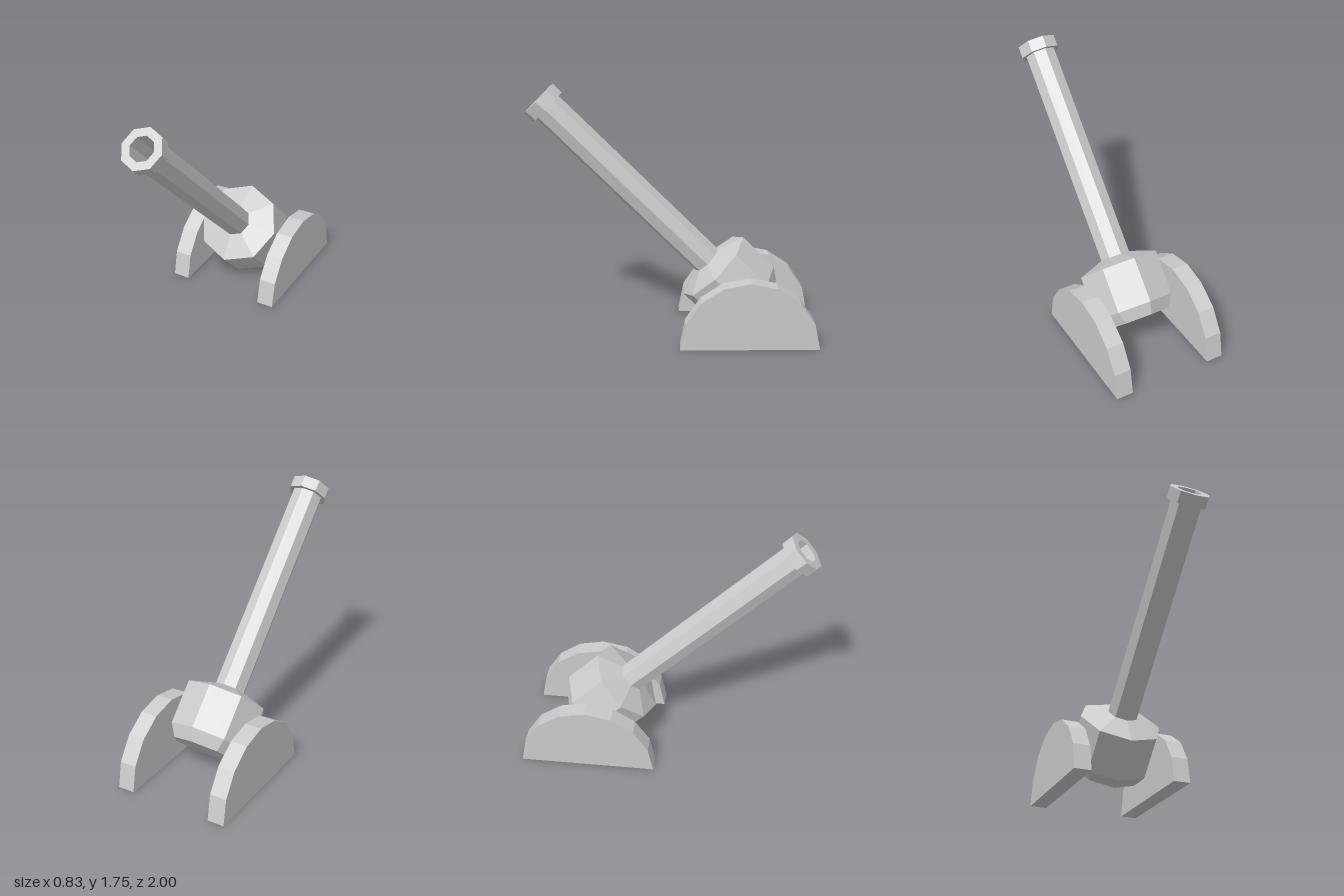
import * as THREE from 'three';

const material = new THREE.MeshStandardMaterial({ color: 0xcccccc, flatShading: true });

// Eight-sided turned part from [radius, distance along the axis] pairs
function turned(name, profile) {
  const points = profile.map(([r, s]) => new THREE.Vector2(r, s));
  const mesh = new THREE.Mesh(new THREE.LatheGeometry(points, 8), material);
  mesh.name = name;
  return mesh;
}

// Half disc with a flat base, lying along z and extruded along x
function sideSupport(name, x) {
  const radius = 0.475, width = 0.12, sides = 8;
  const outline = [];
  for (let i = 0; i <= sides; i++) {
    const a = (i / sides) * Math.PI;
    outline.push(new THREE.Vector2(radius * Math.cos(a), radius * Math.sin(a)));
  }
  const geometry = new THREE.ExtrudeGeometry(new THREE.Shape(outline), { depth: width, bevelEnabled: false });
  geometry.translate(0, 0, -width / 2).rotateY(Math.PI / 2);
  const mesh = new THREE.Mesh(geometry, material);
  mesh.name = name;
  mesh.position.set(x, 0, -0.525);
  return mesh;
}

export function createModel() {
  const model = new THREE.Group();
  model.name = 'cannon';

  // Gun tilted 45 degrees up towards the front
  const gun = new THREE.Group();
  gun.name = 'gun';
  gun.position.set(0, 0.375, -0.375);
  gun.rotation.x = Math.PI / 4;

  // Breech: flat rear cap, chamfer, straight drum, sloped front
  gun.add(turned('breech', [[0, -0.269], [0.24, -0.269], [0.295, -0.184], [0.295, 0.124], [0.11, 0.187]]));

  // Barrel tube
  gun.add(turned('barrel', [[0.11, 0.187], [0.11, 1.72]]));

  // Muzzle collar with the hollow bore
  gun.add(turned('muzzle', [[0.11, 1.72], [0.142, 1.72], [0.142, 1.803], [0.085, 1.803], [0.085, 1.3], [0, 1.3]]));
  model.add(gun);

  // Supports on both sides
  model.add(sideSupport('leftSupport', 0.355), sideSupport('rightSupport', -0.355));
  return model;
}
